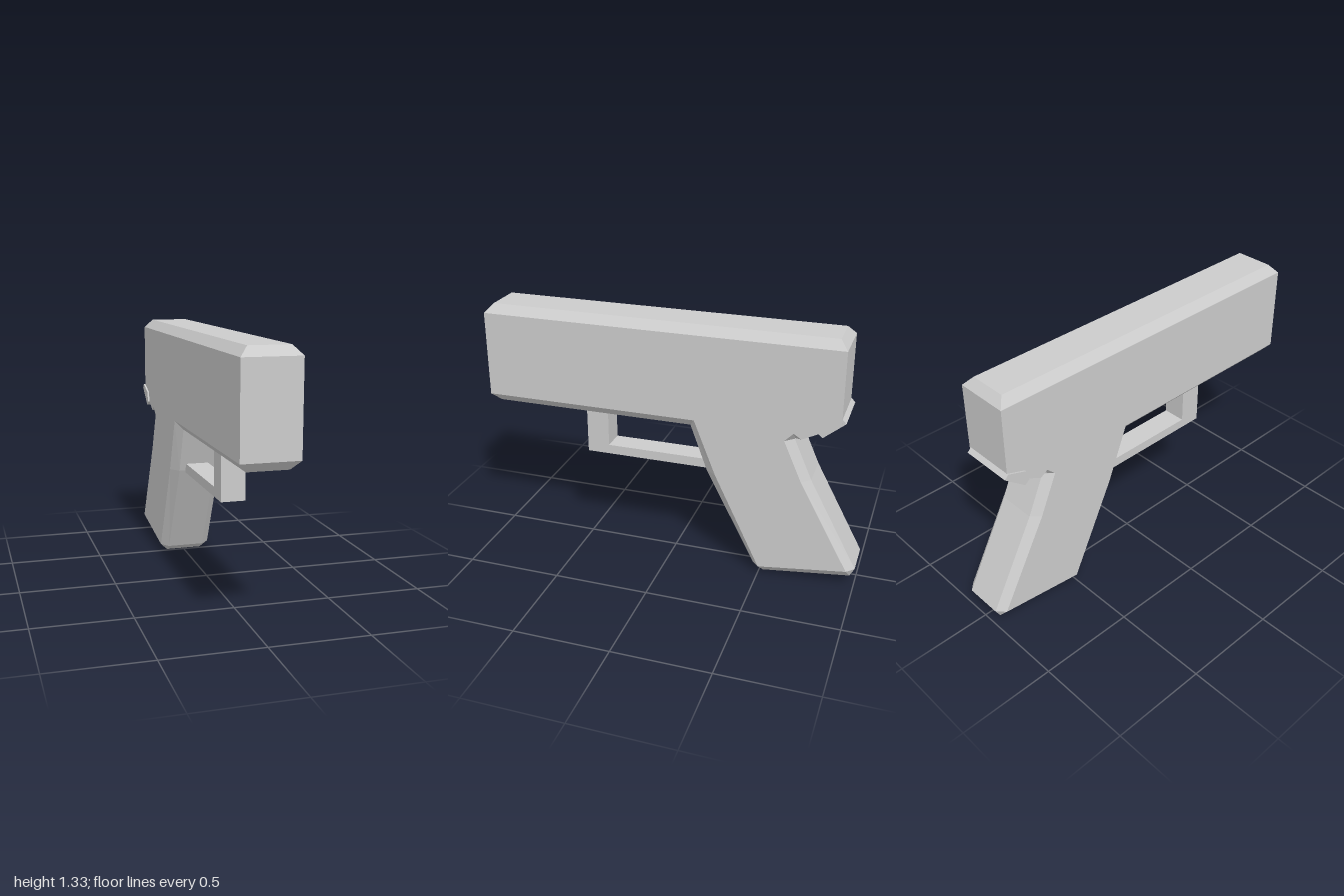
import * as THREE from 'three';

const material = new THREE.MeshStandardMaterial({ color: 0xcccccc, flatShading: true });
const SIDE = 0.141, MID = 0.1, CENTRE = 0.003;

// Chamfered solid: each row is [z, y] on the flat side, then [z, y] on the centre strip.
function chamferedSolid(rows) {
  const pos = [];
  const tri = (a, b, c) => {
    const area = new THREE.Triangle(a, b, c).getArea();
    if (area > 1e-7) for (const p of [a, b, c]) pos.push(p.x, p.y, p.z);
  };
  const rings = rows.map(([sz, sy, mz, my]) => [
    new THREE.Vector3(SIDE, sy, sz), new THREE.Vector3(MID, my, mz),
    new THREE.Vector3(-MID, my, mz), new THREE.Vector3(-SIDE, sy, sz),
  ]);
  // edge strips and centre strip
  rings.forEach((r, i) => {
    const n = rings[(i + 1) % rings.length];
    for (let k = 0; k < 3; k++) {
      tri(r[k], n[k], n[k + 1]);
      tri(r[k], n[k + 1], r[k + 1]);
    }
  });
  // flat sides, without repeated corners
  const outline = rows.map(([z, y]) => new THREE.Vector2(z, y))
    .filter((p, i, all) => !p.equals(all[(i + 1) % all.length]));
  for (const face of THREE.ShapeUtils.triangulateShape(outline, [])) {
    let [a, b, c] = face.map((i) => outline[i]);
    if ((b.y - a.y) * (c.x - a.x) - (b.x - a.x) * (c.y - a.y) < 0) [b, c] = [c, b];
    const at = (p, x) => new THREE.Vector3(x, p.y, p.x);
    tri(at(a, SIDE), at(b, SIDE), at(c, SIDE));
    tri(at(a, -SIDE), at(c, -SIDE), at(b, -SIDE));
  }
  const geo = new THREE.BufferGeometry();
  geo.setAttribute('position', new THREE.Float32BufferAttribute(pos, 3));
  geo.computeVertexNormals();
  return geo;
}

// Flat profile in [z, y], given a width in x and centred on it
function slab(points, width) {
  const shape = new THREE.Shape(points.map(([z, y]) => new THREE.Vector2(-z, y)));
  const geo = new THREE.ExtrudeGeometry(shape, { depth: width, bevelEnabled: false });
  return geo.translate(0, 0, -width / 2).rotateY(Math.PI / 2);
}

export function createModel() {
  const model = new THREE.Group();
  const add = (name, geo, x) => {
    const mesh = new THREE.Mesh(geo, material);
    mesh.name = name;
    mesh.position.x = x;
    model.add(mesh);
  };

  // Barrel housing and raked grip in one chamfered outline
  add('bodyAndGrip', chamferedSolid([
    [1, 0.84, 1, 0.84],
    [1, 1.29, 1, 1.29],
    [1, 1.29, 0.96, 1.335],
    [-0.88, 1.29, -0.84, 1.335],
    [-0.88, 1.29, -0.88, 1.29],
    [-0.88, 0.92, -0.88, 0.92],
    [-0.77, 0.855, -0.77, 0.855],
    [-0.69, 0.815, -0.69, 0.815],
    [-0.65, 0.84, -0.65, 0.8],
    [-0.605, 0.795, -0.65, 0.795],
    [-0.7, 0.58, -0.745, 0.58],
    [-0.96, 0.105, -1, 0.105],
    [-0.96, 0.105, -0.975, 0.06],
    [-0.5, 0.045, -0.52, 0.005],
    [-0.5, 0.045, -0.465, 0.04],
    [-0.255, 0.55, -0.2, 0.55],
    [-0.14, 0.84, -0.11, 0.795],
    [1, 0.84, 0.96, 0.795],
  ]), CENTRE);

  // L-shaped trigger guard, its ends sunk into the body and grip
  add('triggerGuard', slab([
    [0.48, 0.82], [0.48, 0.54], [-0.24, 0.54], [-0.24, 0.59], [0.36, 0.59], [0.36, 0.82],
  ], 0.124), -0.002);

  // Slanted plate under the rear end, slightly off to one side
  add('rearPlate', slab([
    [-0.9, 0.923], [-0.88, 0.945], [-0.78, 0.91], [-0.765, 0.855], [-0.79, 0.833],
  ], 0.283), -0.006);

  return model;
}
